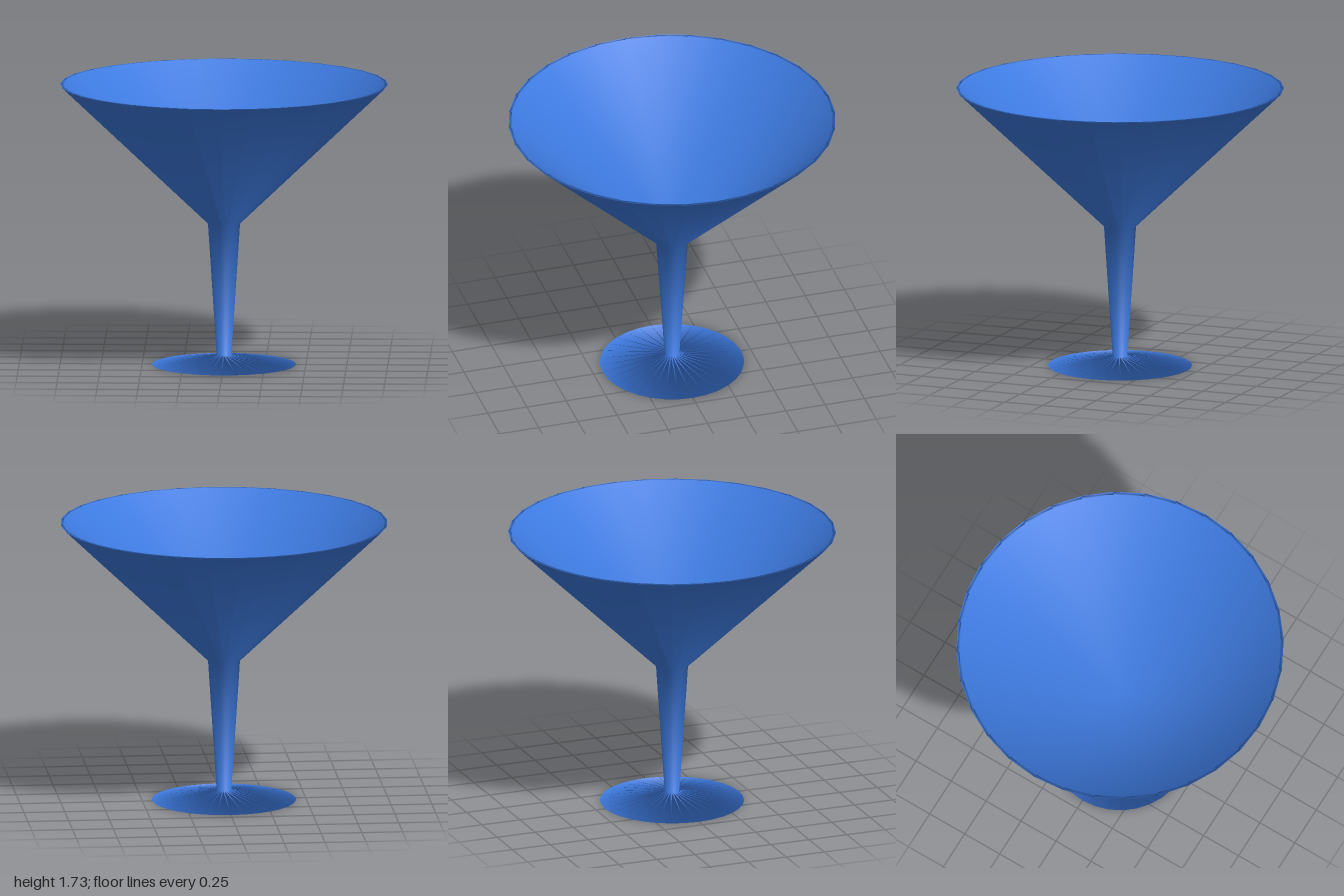
import * as THREE from 'three';

export function createModel() {
  const group = new THREE.Group();
  group.name = 'cocktailGlass';

  // Half-section: underside, foot, stem, outer bowl, rim, inner bowl
  const profile = [
    [0, 0],
    [0.44, 0],
    [0.045, 0.06],
    [0.098, 0.87],
    [1, 1.73],
    [0.98, 1.73],
    [0, 0.87],
  ].map(([x, y]) => new THREE.Vector2(x, y));

  const geometry = new THREE.LatheGeometry(profile, 32);

  // Vertical normals on the axis, so both centres shade smoothly
  const { position, normal } = geometry.attributes;
  for (let i = 0; i < position.count; i++) {
    const onAxis = Math.hypot(position.getX(i), position.getZ(i)) < 1e-6;
    if (onAxis) normal.setXYZ(i, 0, position.getY(i) > 0.1 ? 1 : -1, 0);
  }

  const material = new THREE.MeshStandardMaterial({ color: 0x3d7ae0 });
  const glass = new THREE.Mesh(geometry, material);
  glass.name = 'footStemAndBowl';
  group.add(glass);
  return group;
}
